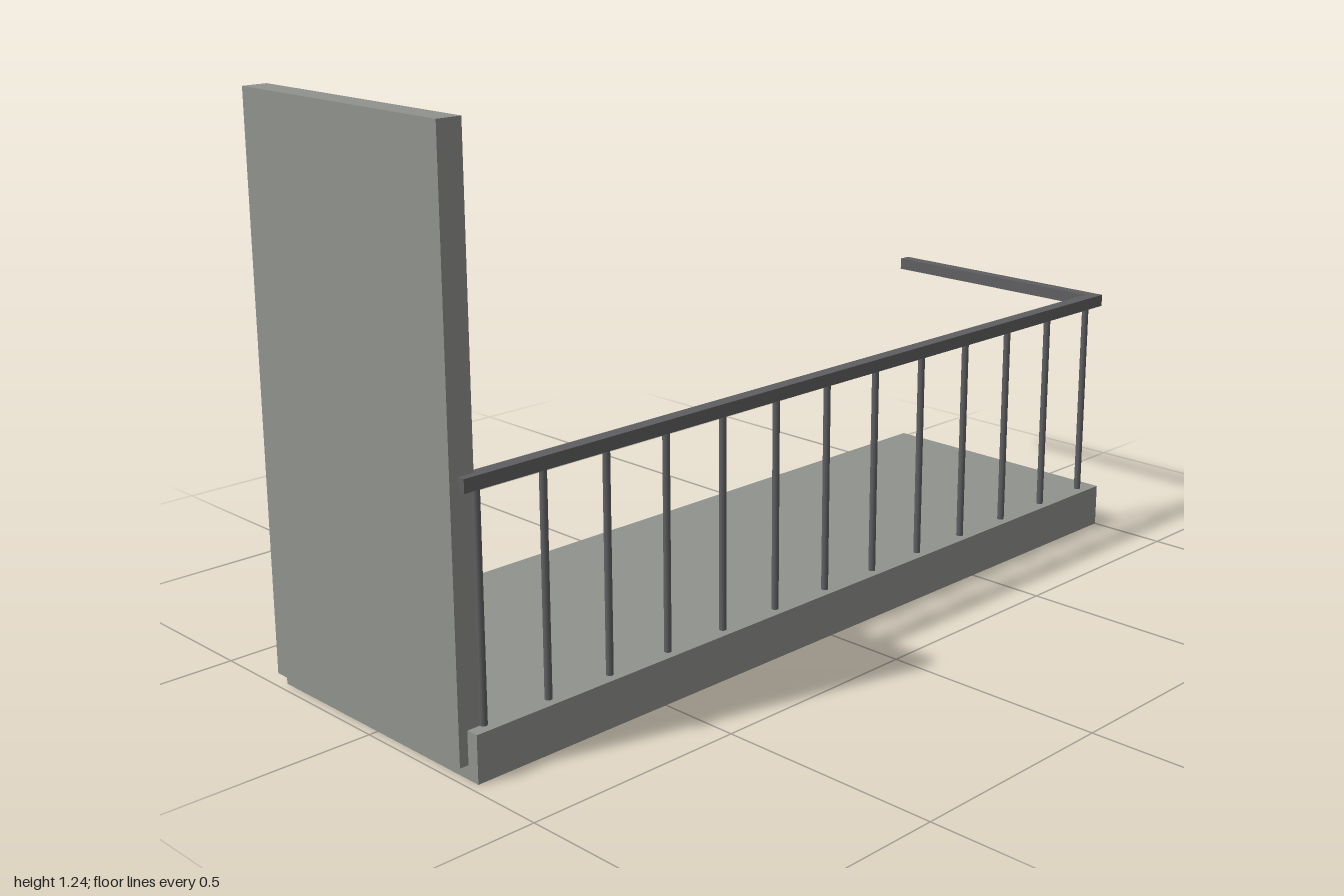
import * as THREE from 'three';

export function createModel() {
  const model = new THREE.Group();
  model.name = 'balcony';

  const concrete = new THREE.MeshStandardMaterial({ color: 0x90928e });
  concrete.name = 'concrete grey';
  const metal = new THREE.MeshStandardMaterial({ color: 0x5f5f62 });
  metal.name = 'dark metal';

  // Box given by its lower and upper corners
  function box(name, material, [x0, y0, z0], [x1, y1, z1]) {
    const mesh = new THREE.Mesh(new THREE.BoxGeometry(x1 - x0, y1 - y0, z1 - z0), material);
    mesh.position.set((x0 + x1) / 2, (y0 + y1) / 2, (z0 + z1) / 2);
    mesh.name = name;
    model.add(mesh);
  }

  // Floor slab and side wall
  box('floorSlab', concrete, [-0.98, 0, -0.316], [1, 0.1, 0.316]);
  box('sideWall', concrete, [-1, 0.03, -0.316], [-0.945, 1.24, 0.288]);

  // Handrails: a long front one and a return along the open side
  box('frontHandrail', metal, [-0.98, 0.566, 0.274], [1, 0.594, 0.304]);
  box('sideHandrail', metal, [0.971, 0.566, -0.316], [1, 0.594, 0.274]);

  // Row of thin balusters under the front handrail
  const balusters = new THREE.Group();
  balusters.name = 'balusters';
  const post = new THREE.CylinderGeometry(0.0078, 0.0078, 0.476, 12);
  const count = 13;
  for (let i = 0; i < count; i++) {
    const baluster = new THREE.Mesh(post, metal);
    baluster.name = 'baluster';
    baluster.position.set(-0.943 + (i * 1.894) / (count - 1), 0.333, 0.29);
    balusters.add(baluster);
  }
  model.add(balusters);

  return model;
}
